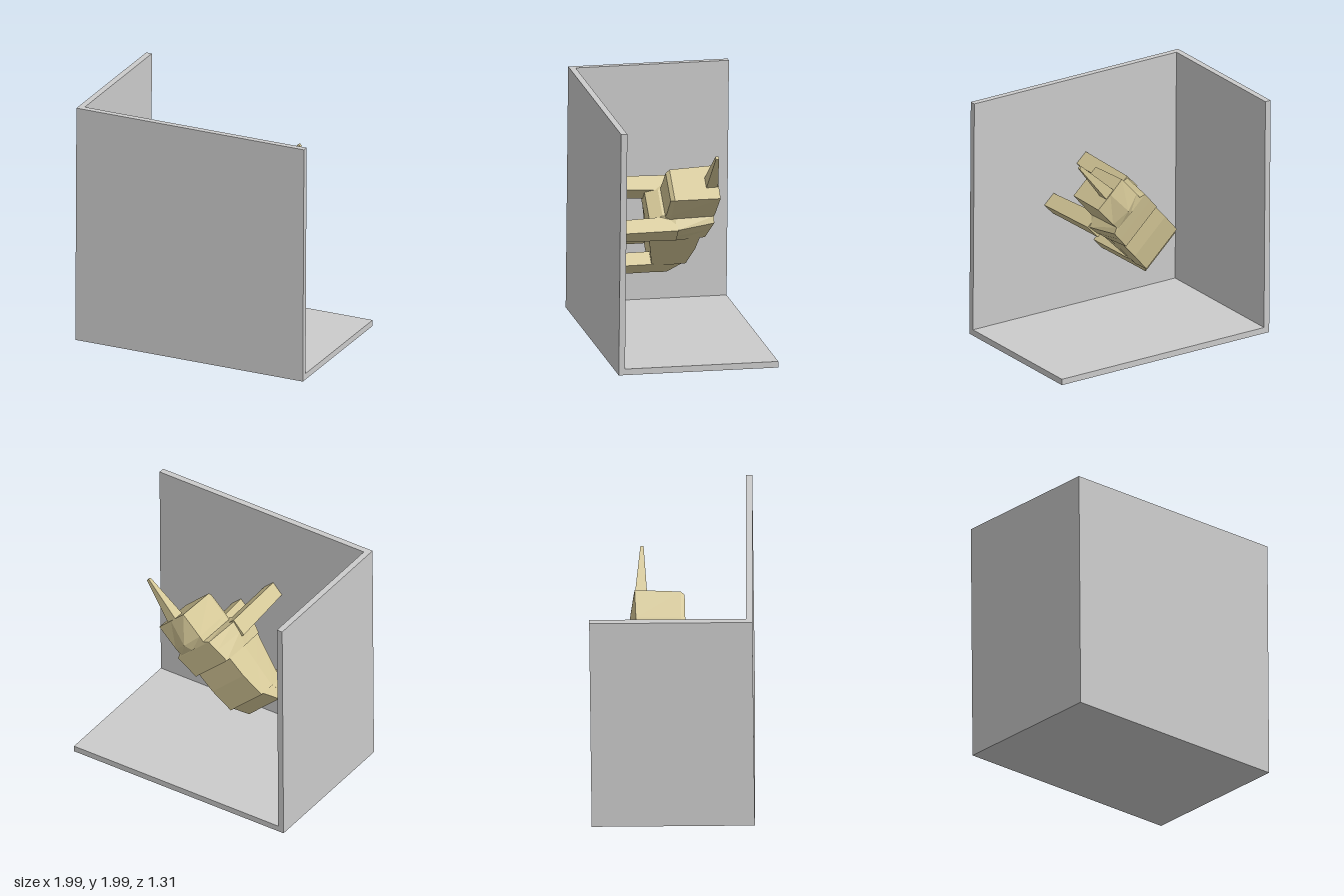
import * as THREE from 'three';

const hide = new THREE.MeshStandardMaterial({ color: 0xd2c595, flatShading: true });
const grey = new THREE.MeshStandardMaterial({ color: 0xcccccc, flatShading: true });

// Mirrored loft along z. Section: [z, [[halfWidth, y, zOffset], ... top to bottom]]
function loft(name, sections) {
  const pos = [], index = [];
  const n = sections[0][1].length * 2;
  for (const [z, pts] of sections) {
    for (const [x, y, dz = 0] of [...pts].reverse()) pos.push(x, y, z + dz);
    for (const [x, y, dz = 0] of pts) pos.push(-x, y, z + dz);
  }
  const last = (sections.length - 1) * n;
  for (let i = 0; i < last; i += n) {
    for (let k = 0; k < n; k++) {
      const k2 = (k + 1) % n;
      index.push(i + k, i + k2, i + n + k2, i + k, i + n + k2, i + n + k);
    }
  }
  // End caps, as strips between the mirrored sides
  for (let k = 0; k < n / 2 - 1; k++) {
    const a = k, b = k + 1, c = n - 2 - k, d = n - 1 - k;
    index.push(a, c, b, a, d, c);
    index.push(last + a, last + b, last + c, last + a, last + c, last + d);
  }
  const g = new THREE.BufferGeometry();
  g.setAttribute('position', new THREE.Float32BufferAttribute(pos, 3));
  g.setIndex(index);
  g.computeVertexNormals();
  const mesh = new THREE.Mesh(g, hide);
  mesh.name = name;
  return mesh;
}

function box(name, w, h, d, x, y, z, material) {
  const mesh = new THREE.Mesh(new THREE.BoxGeometry(w, h, d), material);
  mesh.position.set(x, y, z);
  mesh.name = name;
  return mesh;
}

// Three-sided room, resting slightly tilted
function createRoom() {
  const room = new THREE.Group();
  room.name = 'room';
  const W = 1.99, H = 1.98, D = 1.29, T = 0.05;
  room.add(
    box('frontPanel', W, H, T, 0, 0, D / 2 - T / 2, grey),
    box('bottomPanel', W, T, D - T, 0, -H / 2 + T / 2, -T / 2, grey),
    box('sidePanel', T, H - T, D - T, -W / 2 + T / 2, T / 2, -T / 2, grey)
  );
  room.position.y = 1;
  room.rotation.x = -0.0101;
  return room;
}

// Horned animal in its own frame: y up from its feet, z forward
function createAnimal() {
  const animal = new THREE.Group();
  animal.name = 'hornedAnimal';

  // Body in three stepped plates
  animal.add(loft('rump', [
    [-0.38, [[0.195, 0.59], [0.195, 0.5], [0.19, 0.45]]],
    [-0.26, [[0.195, 0.70], [0.195, 0.58], [0.19, 0.45]]]
  ]));
  animal.add(loft('midBody', [
    [-0.26, [[0.2, 0.725], [0.205, 0.58], [0.19, 0.45]]],
    [-0.05, [[0.2, 0.77], [0.205, 0.58], [0.19, 0.41]]],
    [0.14, [[0.2, 0.785], [0.205, 0.58], [0.19, 0.37]]]
  ]));
  animal.add(loft('shoulders', [
    [0.127, [[0.2, 0.825], [0.215, 0.58], [0.2, 0.37]]],
    [0.24, [[0.2, 0.85], [0.24, 0.57], [0.22, 0.36]]],
    [0.335, [[0.2, 0.87], [0.25, 0.56], [0.15, 0.36, -0.02]]],
    [0.36, [[0.15, 0.87], [0.15, 0.56], [0.12, 0.46]]]
  ]));

  // Head with a peaked crown and a bevelled chin
  animal.add(loft('head', [
    [0.34, [[0, 0.88], [0.15, 0.87], [0.155, 0.52], [0.13, 0.48]]],
    [0.41, [[0, 0.925], [0.155, 0.875], [0.155, 0.52], [0.135, 0.485]]],
    [0.63, [[0, 0.89], [0.155, 0.885], [0.145, 0.52, -0.01], [0.13, 0.49, -0.035]]]
  ]));

  // Tapered square horn
  animal.add(loft('horn', [
    [0.6, [[0.05, 0.885], [0.05, 0.785]]],
    [1.0, [[0.013, 0.84], [0.013, 0.815]]]
  ]));

  // Legs; the front pair stands wider and leans out into the shoulders
  for (const side of [-1, 1]) {
    animal.add(box('rearLeg', 0.12, 0.56, 0.12, side * 0.135, 0.27, -0.315, hide));
    const front = box('frontLeg', 0.12, 0.58, 0.12, side * 0.21, 0.28, 0.305, hide);
    const p = front.geometry.attributes.position;
    for (let i = 0; i < p.count; i++) {
      if (p.getY(i) > 0) {
        p.setX(i, p.getX(i) * 1.15 - side * 0.02);
        p.setZ(i, p.getZ(i) * 1.2 - 0.03);
      }
    }
    front.geometry.computeVertexNormals();
    animal.add(front);
  }

  // Stand it on the inside of the front panel, facing the upper corner
  const c = 0.68, s = Math.sqrt(1 - c * c);
  animal.matrix.makeBasis(
    new THREE.Vector3(s, -c, 0),
    new THREE.Vector3(0, 0, -1),
    new THREE.Vector3(c, s, 0)
  ).setPosition(-0.13, 0.893, 0.59);
  animal.matrix.decompose(animal.position, animal.quaternion, animal.scale);
  return animal;
}

export function createModel() {
  const model = new THREE.Group();
  model.name = 'hornedAnimalInRoom';
  model.add(createRoom(), createAnimal());
  return model;
}
